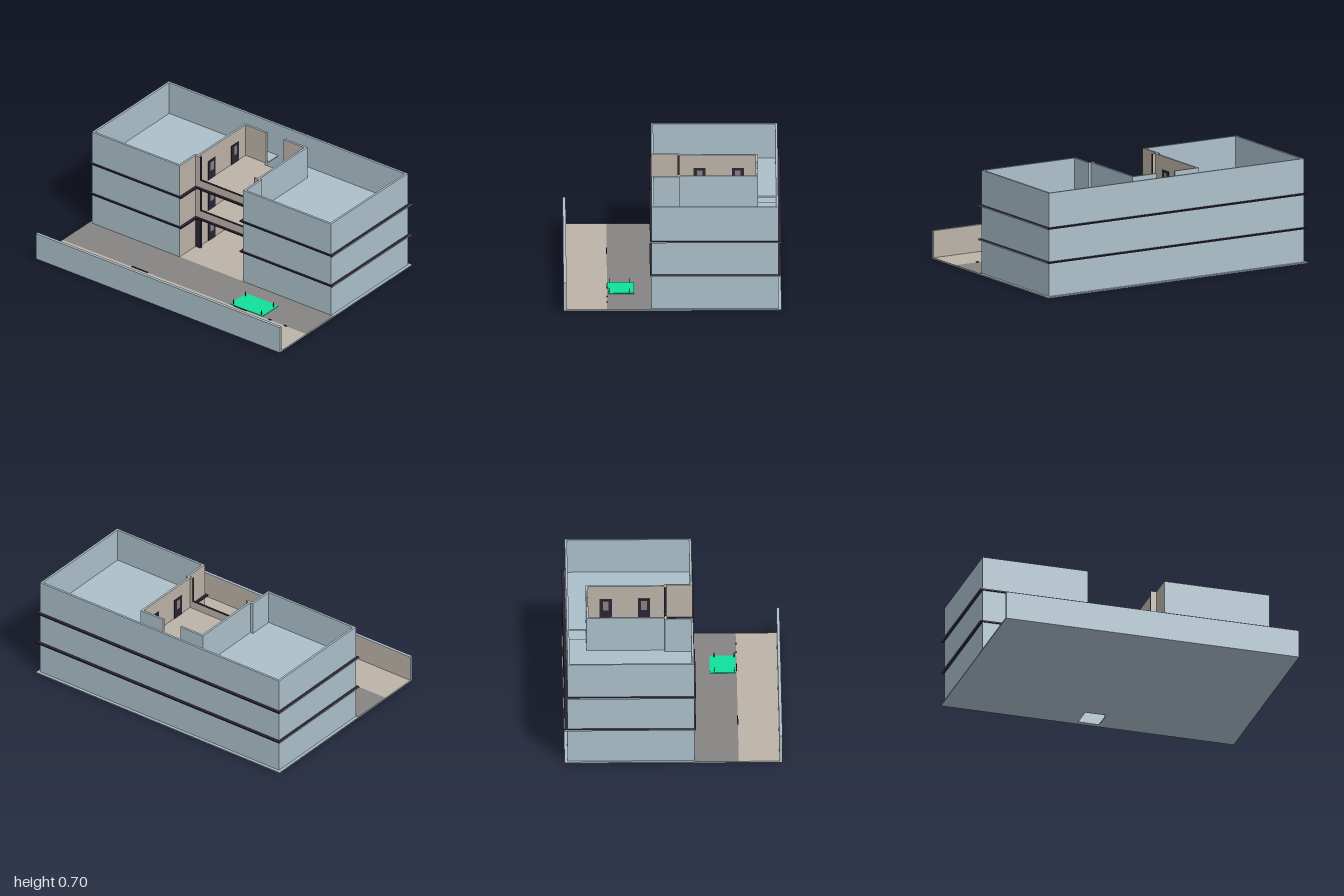
import * as THREE from 'three';

export function createModel() {
  const model = new THREE.Group();
  model.name = 'building';
  const mat = (name, color) => {
    const m = new THREE.MeshStandardMaterial({ color });
    m.name = name;
    return m;
  };
  const blue = mat('pale blue wall', 0xacc0cb);
  const beige = mat('beige plaster', 0xbcb3a8);
  const dark = mat('dark trim', 0x2a2433);
  const grey = mat('grey road', 0x868482);
  const green = mat('green patch', 0x10e09c);

  // Box given by its limits; material may be a list ordered +x -x +y -y +z -z
  function box(name, material, x0, x1, y0, y1, z0, z1, parent = model) {
    const mesh = new THREE.Mesh(new THREE.BoxGeometry(x1 - x0, y1 - y0, z1 - z0), material);
    mesh.position.set((x0 + x1) / 2, (y0 + y1) / 2, (z0 + z1) / 2);
    mesh.name = name;
    parent.add(mesh);
    return mesh;
  }

  // Horizontal slab from an outline of [x, z] points, with optional shaft hole
  function slab(name, material, points, y, thick, withShaft) {
    const toVec = ([x, z]) => new THREE.Vector2(x, -z);
    const shape = new THREE.Shape(points.map(toVec));
    if (withShaft) {
      shape.holes.push(new THREE.Path(
        [[-0.072, -0.675], [0.072, -0.675], [0.072, -0.525], [-0.072, -0.525]].map(toVec)));
    }
    const geo = new THREE.ExtrudeGeometry(shape, { depth: thick, bevelEnabled: false });
    geo.rotateX(-Math.PI / 2);
    const mesh = new THREE.Mesh(geo, material);
    mesh.position.y = y;
    mesh.name = name;
    model.add(mesh);
  }

  // Court floor finish, notched around the shaft
  const courtFloor = (y, front) => slab('courtFloor', beige, [
    [-0.245, front], [0.245, front], [0.245, -0.55], [0.072, -0.55],
    [0.072, -0.525], [-0.072, -0.525], [-0.072, -0.55], [-0.245, -0.55],
  ], y, 0.002, false);

  // Ground slab, street and front boundary wall
  slab('groundSlab', blue, [[-1, 0.71], [1, 0.71], [1, -0.71], [-1, -0.71]], 0, 0.008, true);
  box('road', grey, -1, 1, 0.008, 0.01, 0.135, 0.425);
  box('pavement', beige, -1, 1, 0.008, 0.01, 0.425, 0.69);
  box('boundaryWall', [blue, blue, blue, blue, blue, beige], -1, 1, 0.008, 0.19, 0.69, 0.71);
  courtFloor(0.008, -0.03);
  box('courtEntryFloor', beige, -0.26, 0.26, 0.008, 0.01, -0.03, 0.135);
  for (const [x0, x1] of [[-0.43, -0.3], [0.41, 0.51], [0.69, 0.71], [0.82, 0.84]]) {
    box('kerbMark', dark, x0, x1, 0.01, 0.015, 0.421, 0.428);
  }

  // Green patch with four small posts
  box('greenPatch', green, 0.372, 0.638, 0.01, 0.014, 0.25, 0.42);
  for (const x of [0.39, 0.62]) {
    for (const z of [0.28, 0.41]) box('post', dark, x - 0.002, x + 0.002, 0.01, 0.045, z - 0.002, z + 0.002);
  }

  // Outer walls
  const top = 0.697;
  box('backWall', blue, -0.98, 0.98, 0.008, top, -0.69, -0.675);
  for (const s of [-1, 1]) {
    const side = (name, material, a, b, ...rest) =>
      box(name, material, Math.min(s * a, s * b), Math.max(s * a, s * b), ...rest);
    // Beige on the court side, blue on the room side
    const courtFaces = s > 0
      ? [blue, beige, blue, beige, beige, blue] : [beige, blue, blue, beige, beige, blue];
    side('sideWall', blue, 0.965, 0.98, 0.008, top, -0.675, 0.135);
    side('frontWall', blue, 0.275, 0.965, 0.008, top, 0.12, 0.135);
    const entryFaces = courtFaces.slice();
    entryFaces[4] = blue;
    side('entryWall', entryFaces, 0.26, 0.275, 0.008, top, -0.05, 0.135);
    side('courtWall', courtFaces, 0.24, 0.255, 0.008, top, -0.56, -0.05);
    side('courtBackWall', courtFaces, 0.072, 0.24, 0.008, top, -0.56, -0.545);
    side('entryColumn', dark, 0.22, 0.26, 0.01, 0.23, -0.05, -0.035);

    // Framed doors along the court on each storey
    for (const y of [0.01, 0.24, 0.468]) {
      for (const z of [-0.18, -0.43]) {
        side('doorFrame', dark, 0.236, 0.24, y, y + 0.14, z - 0.04, z + 0.04);
        side('doorPanel', grey, 0.235, 0.236, y + 0.06, y + 0.125, z - 0.018, z + 0.018);
      }
    }
  }

  // Upper storeys: floor, surrounding ledge and court balcony
  const sideBlue = [blue, blue, dark, dark, dark, dark];
  for (const [y, ceiling] of [[0.23, 0.458], [0.458, top]]) {
    const h = 0.009;
    slab('upperFloor', blue, [
      [-0.97, 0.125], [-0.265, 0.125], [-0.265, -0.036], [0.265, -0.036],
      [0.265, 0.125], [0.97, 0.125], [0.97, -0.68], [-0.97, -0.68],
    ], y, h - 0.001, true);
    courtFloor(y + h - 0.001, -0.05);

    box('backLedge', sideBlue, -1, 1, y, y + h, -0.71, -0.69);
    for (const s of [-1, 1]) {
      const side = (name, material, a, b, ...rest) =>
        box(name, material, Math.min(s * a, s * b), Math.max(s * a, s * b), ...rest);
      side('sideLedge', sideBlue, 0.98, 1, y, y + h, -0.69, 0.147);
      side('frontLedge', dark, 0.24, 0.98, y, y + h, 0.135, 0.147);
      side('entryLedge', dark, 0.24, 0.26, y, y + h, -0.02, 0.135);
      // Balcony jamb with a dark inner lining
      side('balconyJamb', beige, 0.222, 0.26, y + h, ceiling, -0.05, -0.035);
      side('jambLining', dark, 0.219, 0.222, y + 0.064, ceiling, -0.05, -0.035);
    }
    box('balconyLedge', dark, -0.26, 0.26, y, y + h, -0.035, -0.02);
    box('balconyParapet', beige, -0.222, 0.222, y + h, y + 0.061, -0.05, -0.035);
    box('parapetCap', dark, -0.222, 0.222, y + 0.061, y + 0.064, -0.05, -0.035);
    if (ceiling < top) box('balconyLintel', beige, -0.222, 0.222, ceiling - 0.013, ceiling, -0.05, -0.035);
  }

  return model;
}
